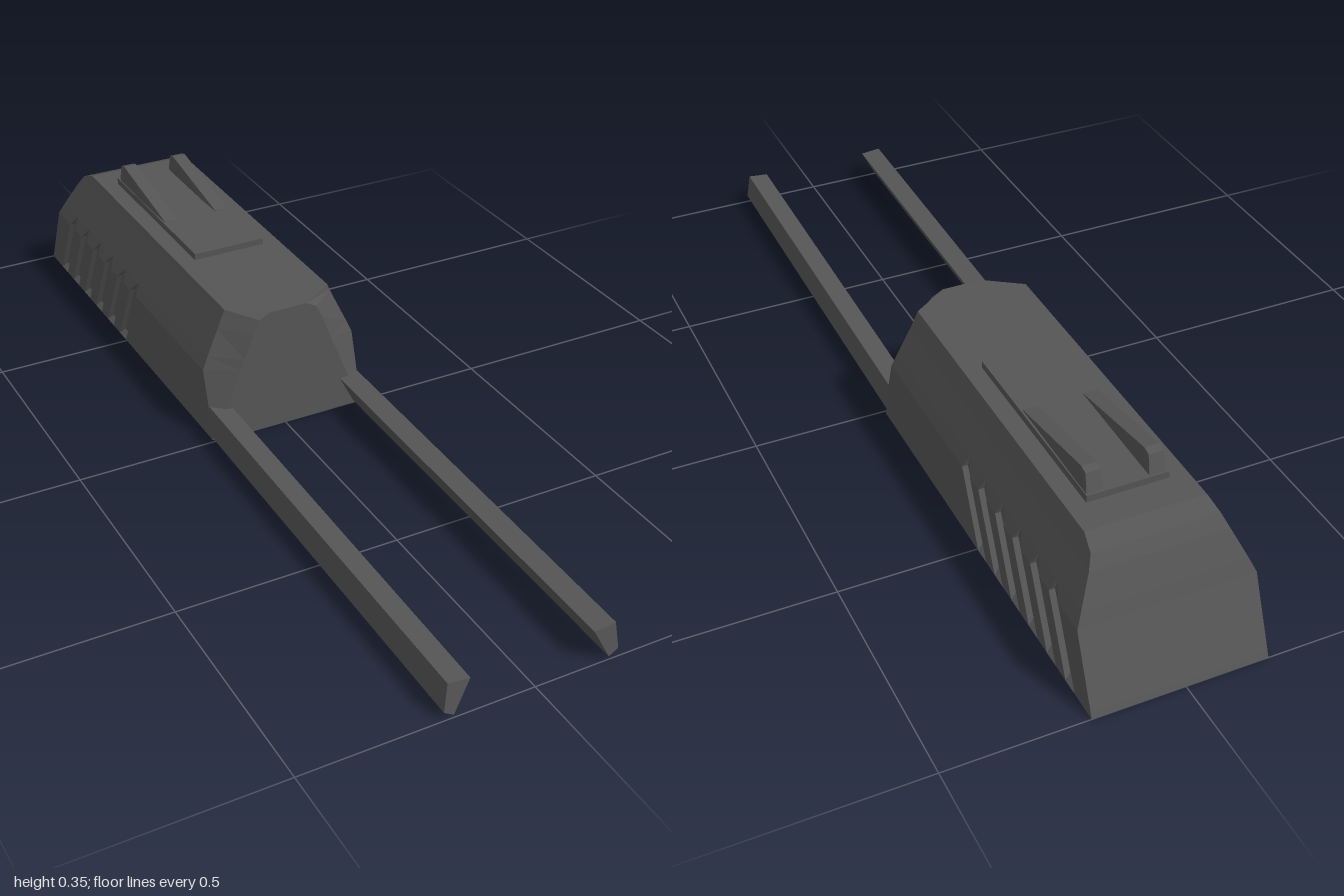
import * as THREE from 'three';

const material = new THREE.MeshStandardMaterial({ color: 0x555555, flatShading: true });
const CX = 0.009; // centre line of the housing

// Skin between closed rings that run front to back, each counter-clockwise seen from the front
function loft(name, rings) {
  const n = rings[0].length, pos = [];
  const tri = (...pts) => pts.forEach((p) => pos.push(...p));
  for (let r = 0; r < rings.length - 1; r++) {
    const A = rings[r], B = rings[r + 1];
    for (let i = 0; i < n; i++) {
      const j = (i + 1) % n;
      tri(A[i], B[i], A[j]);
      tri(A[j], B[i], B[j]);
    }
  }
  // End caps, in strips between opposite points
  const F = rings[0], K = rings[rings.length - 1];
  for (let i = 0; i < n / 2 - 1; i++) {
    const a = i, b = i + 1, c = n - 2 - i, d = n - 1 - i;
    tri(F[a], F[b], F[c]);
    tri(F[a], F[c], F[d]);
    tri(K[a], K[c], K[b]);
    tri(K[a], K[d], K[c]);
  }
  const geo = new THREE.BufferGeometry();
  geo.setAttribute('position', new THREE.Float32BufferAttribute(pos, 3));
  geo.computeVertexNormals();
  const mesh = new THREE.Mesh(geo, material);
  mesh.name = name;
  return mesh;
}

// Half outline (x, y, z) completed by its mirror image
const mirrorRing = (half) => [
  ...half.map(([x, y, z]) => [CX + x, y, z]),
  ...half.slice().reverse().map(([x, y, z]) => [CX - x, y, z]),
];

function buildHousing() {
  const half = [[0.188, 0], [0.188, 0.012], [0.188, 0.08], [0.188, 0.16],
    [0.175, 0.19], [0.147, 0.25], [0.135, 0.277], [0.128, 0.293]];
  const withZ = (zs, recessed = false) => mirrorRing(half.map(([x, y], i) =>
    [recessed && i > 0 && i < 4 ? 0.175 : x, y, zs[i]]));

  // Front face and the bevel around it
  const face = [[0.172, 0], [0.17, 0.012], [0.157, 0.07], [0.118, 0.165],
    [0.108, 0.19], [0.085, 0.25], [0.07, 0.28], [0.045, 0.293]];
  const rings = [
    mirrorRing(face.map(([x, y]) => [x, y, -0.015 * y])),
    withZ([-0.008, -0.01, -0.025, -0.05, -0.053, -0.058, -0.06, -0.06]),
  ];

  // Six slanted, pointed vent slots in each side
  for (let k = 0; k < 6; k++) {
    const edge = (offset) => half.map(([, y]) => {
      const slant = -0.505 + 0.5 * Math.min(y, 0.16);
      return -0.078 * k + (y >= 0.19 ? -0.435 : slant - offset);
    });
    const a = edge(0), b = edge(0.038);
    rings.push(withZ(a), withZ(a, true), withZ(b, true), withZ(b));
  }

  // Sloping back with a rounded upper edge
  rings.push(withZ([-1, -0.995, -0.965, -0.93, -0.917, -0.888, -0.87, -0.83]));
  return loft('housing', rings);
}

// Thin plate on the roof
function buildPlate() {
  return loft('topPlate', [-0.3, -0.76].map((z) =>
    mirrorRing([[0.088, 0.285, z], [0.087, 0.308, z]])));
}

// Wedge-shaped rail rising towards the back
function buildRail(side) {
  const profile = [[-0.48, 0.309], [-0.725, 0.352], [-0.742, 0.347], [-0.757, 0.3]];
  const x = CX + side * 0.066;
  return loft(side > 0 ? 'leftRail' : 'rightRail', profile.map(([z, y]) =>
    [[x + 0.02, 0.295, z], [x + 0.016, y, z], [x - 0.016, y, z], [x - 0.02, 0.295, z]]));
}

// Long tilted prong reaching forward, drifting slightly sideways
function buildProng(side) {
  const section = [[0.171, 0.006], [0.192, 0.018], [0.184, 0.079], [0.136, 0.074]];
  const ring = (z, shift) => {
    const pts = section.map(([x, y]) => [side * x + shift, y, z > 0 ? z - 0.1 * y : z]);
    return side > 0 ? pts : pts.reverse();
  };
  return loft(side > 0 ? 'leftProng' : 'rightProng', [ring(1, -0.005), ring(-0.03, 0.006)]);
}

export function createModel() {
  const model = new THREE.Group();
  model.name = 'model';
  model.add(buildHousing(), buildPlate());
  for (const side of [1, -1]) model.add(buildRail(side), buildProng(side));
  return model;
}
